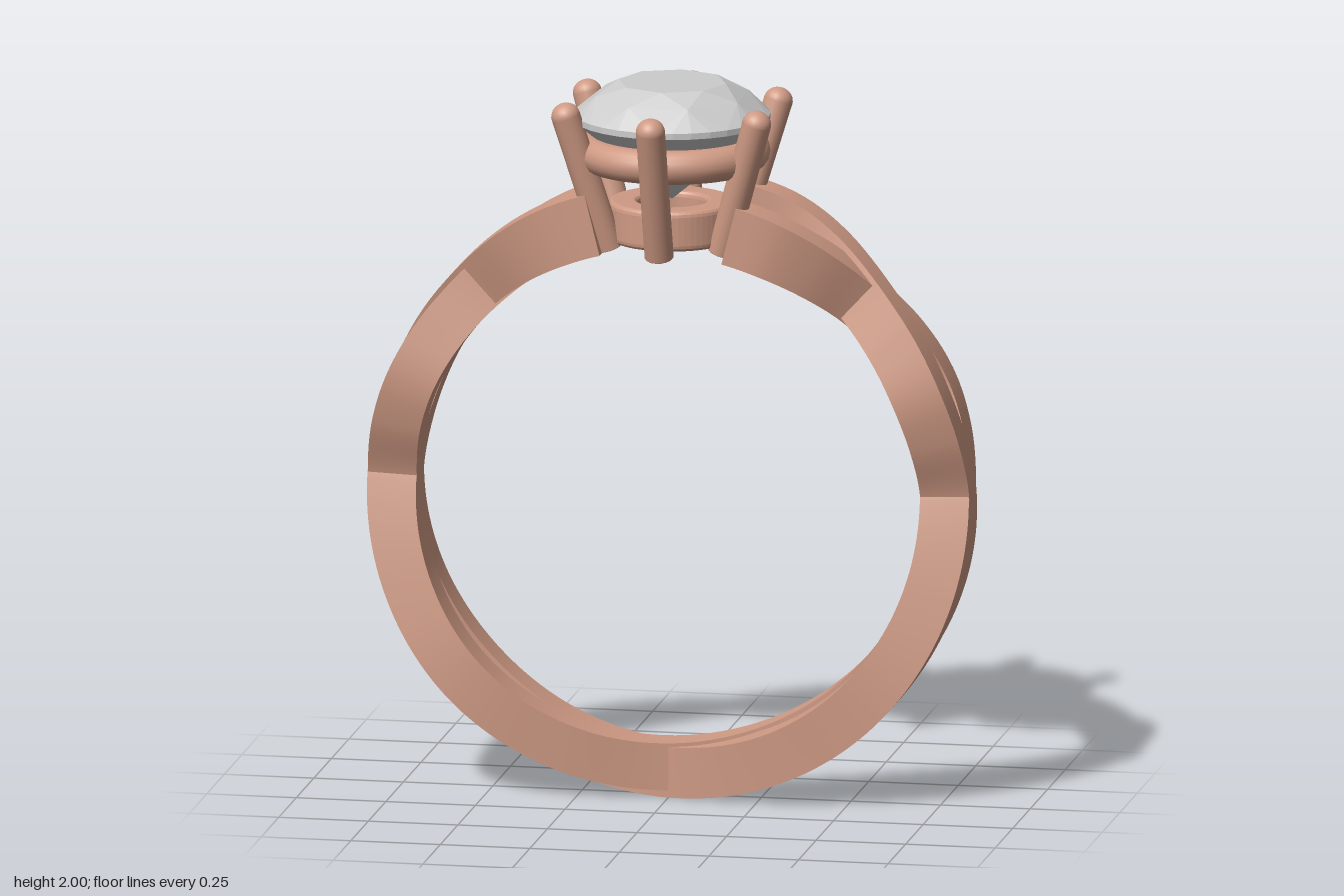
import * as THREE from 'three';
import { ConvexGeometry } from 'three/addons/geometries/ConvexGeometry.js';

const CY = 0.85; // height of the band's centre
const rad = THREE.MathUtils.degToRad;

// Sideways sway of a strand: [degrees from the bottom, z], odd about the bottom
const half = [[22, 0.055], [47, 0.083], [70, 0.055], [92, 0], [103, -0.055], [114, -0.08], [126, -0.052],
  [137, 0], [147, 0.06], [157, 0.1], [168, 0.108]];
const knots = [...half.map(([a, z]) => [-a, -z]).reverse(), [0, 0], ...half];

function sway(deg) {
  let i = 0;
  while (i < knots.length - 2 && deg > knots[i + 1][0]) i++;
  const slope = (k) => {
    const a = knots[Math.max(k - 1, 0)], b = knots[Math.min(k + 1, knots.length - 1)];
    return (b[1] - a[1]) / (b[0] - a[0]);
  };
  const [x0, z0] = knots[i], [x1, z1] = knots[i + 1];
  const h = x1 - x0, t = (deg - x0) / h, t2 = t * t, t3 = t2 * t;
  return z0 * (2 * t3 - 3 * t2 + 1) + z1 * (3 * t2 - 2 * t3)
    + h * (slope(i) * (t3 - 2 * t2 + t) + slope(i + 1) * (t3 - t2));
}

// Rectangular strand swept round the finger, open at the top; each side has its own vertices
function strandGeometry(sign) {
  const steps = 220, end = 166, w = 0.052;
  const section = (i) => {
    const deg = -end + (2 * end * i) / steps, b = rad(deg), z = sign * sway(deg);
    const shift = sign * 0.01 * Math.cos(b);
    const inner = 0.703 + shift * 0.5;
    const outer = 0.84 + shift + 0.03 * THREE.MathUtils.smoothstep(Math.abs(deg), 130, 165);
    return [[-w, inner], [w, inner], [w, outer], [-w, outer]]
      .map(([dz, r]) => [r * Math.sin(b), CY - r * Math.cos(b), z + dz]);
  };
  const pos = [], index = [];
  for (let s = 0; s < 4; s++) {
    for (let i = 0; i <= steps; i++) {
      const c = section(i), n = pos.length / 3;
      pos.push(...c[s], ...c[(s + 1) % 4]);
      if (i < steps) index.push(n, n + 1, n + 3, n, n + 3, n + 2);
    }
  }
  // end caps
  for (const i of [0, steps]) {
    const n = pos.length / 3;
    pos.push(...section(i).flat());
    if (i) index.push(n, n + 1, n + 2, n, n + 2, n + 3);
    else index.push(n, n + 2, n + 1, n, n + 3, n + 2);
  }
  const geo = new THREE.BufferGeometry();
  geo.setAttribute('position', new THREE.Float32BufferAttribute(pos, 3));
  geo.setIndex(index);
  geo.computeVertexNormals();
  return geo;
}

// Round brilliant: table, crown, girdle, pavilion and culet
function gemGeometry() {
  const pts = [];
  const ringOf = (count, r, y, turn = 0) => {
    for (let i = 0; i < count; i++) {
      const a = ((i + turn) / count) * Math.PI * 2;
      pts.push(new THREE.Vector3(r * Math.cos(a), y, r * Math.sin(a)));
    }
  };
  ringOf(8, 0.15, 2.0);
  ringOf(8, 0.215, 1.966, 0.5);
  ringOf(32, 0.27, 1.912);
  ringOf(32, 0.27, 1.895);
  ringOf(8, 0.1, 1.752, 0.5);
  pts.push(new THREE.Vector3(0, 1.67, 0));
  return new ConvexGeometry(pts);
}

export function createModel() {
  const model = new THREE.Group();
  model.name = 'ring';
  const metal = new THREE.MeshStandardMaterial({ color: 0xcf9a84 });
  const stone = new THREE.MeshStandardMaterial({ color: 0xcccccc, flatShading: true });
  const add = (name, geo, mat, parent = model) => {
    const mesh = new THREE.Mesh(geo, mat);
    mesh.name = name;
    parent.add(mesh);
    return mesh;
  };

  // Two interwoven strands of the band
  const band = new THREE.Group();
  band.name = 'band';
  model.add(band);
  add('strandOne', strandGeometry(1), metal, band);
  add('strandTwo', strandGeometry(-1), metal, band);

  // Setting: pierced base collar, basket rail and six prongs
  const setting = new THREE.Group();
  setting.name = 'setting';
  model.add(setting);
  const collar = new THREE.Shape();
  collar.absarc(0, 0, 0.175, 0, Math.PI * 2);
  const hole = new THREE.Path();
  hole.absarc(0, 0, 0.095, 0, Math.PI * 2, true);
  collar.holes.push(hole);
  const collarGeo = new THREE.ExtrudeGeometry(collar, { depth: 0.08, curveSegments: 32,
    bevelThickness: 0.016, bevelSize: 0.012, bevelOffset: -0.012, bevelSegments: 3 });
  collarGeo.rotateX(-Math.PI / 2).translate(0, 1.574, 0);
  add('baseCollar', collarGeo, metal, setting);

  const rail = new THREE.TorusGeometry(0.222, 0.048, 16, 64);
  rail.rotateX(Math.PI / 2).translate(0, 1.807, 0);
  add('basketRail', rail, metal, setting);

  const foot = new THREE.Vector3(0, 1.548, 0.183), tip = new THREE.Vector3(0, 1.925, 0.308);
  const dir = tip.clone().sub(foot), len = dir.length();
  const r = 0.04;
  const profile = [new THREE.Vector2(0, 0), new THREE.Vector2(r, 0), new THREE.Vector2(r, 0.001)];
  for (let i = 0; i <= 8; i++) {
    const a = (i / 8) * Math.PI / 2;
    profile.push(new THREE.Vector2(i === 8 ? 0 : r * Math.cos(a), len + r * 0.9 * Math.sin(a)));
  }
  const prongGeo = new THREE.LatheGeometry(profile, 20);
  prongGeo.rotateX(Math.atan2(dir.z, dir.y)).translate(0, foot.y, foot.z);
  for (let i = 0; i < 6; i++) add('prong' + (i + 1), prongGeo, metal, setting).rotation.y = (i * Math.PI) / 3;

  add('gemstone', gemGeometry(), stone);
  return model;
}
